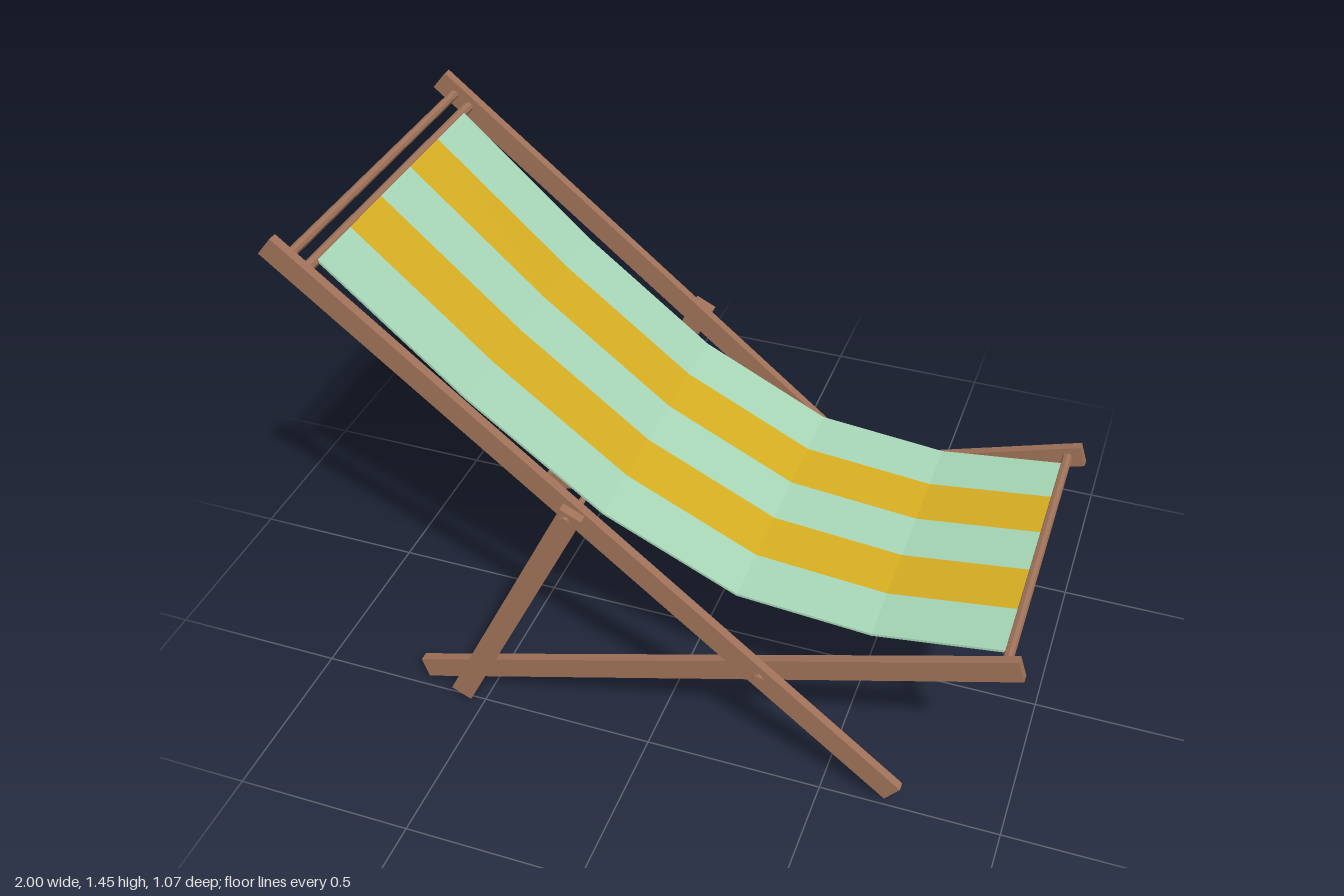
import * as THREE from 'three';

export function createModel() {
  const make = (name, color) => {
    const m = new THREE.MeshStandardMaterial({ color });
    m.name = name;
    return m;
  };
  const wood = make('wood', 0xa2745a);
  const green = make('greenCanvas', 0xa8d8b8);
  const yellow = make('yellowCanvas', 0xd8af22);

  const chair = new THREE.Group();
  chair.name = 'deckChair';
  const add = (name, geometry, material) => {
    const mesh = new THREE.Mesh(geometry, material);
    mesh.name = name;
    chair.add(mesh);
    return mesh;
  };

  // Flat wooden slat running between two points of the side plane
  const slat = (name, [x1, y1], [x2, y2], z, width = 0.064) => {
    const length = Math.hypot(x2 - x1, y2 - y1);
    const mesh = add(name, new THREE.BoxGeometry(length, width, 0.026), wood);
    mesh.position.set((x1 + x2) / 2, (y1 + y2) / 2, z);
    mesh.rotation.z = Math.atan2(y2 - y1, x2 - x1);
  };

  // Round rod across the chair, faceted
  const rod = (name, x, y, z, length, radius) => {
    const geometry = new THREE.CylinderGeometry(radius, radius, length, 8).toNonIndexed();
    geometry.computeVertexNormals();
    geometry.rotateX(Math.PI / 2);
    add(name, geometry, wood).position.set(x, y, z);
  };

  // Side frames, mirrored
  for (const side of [-1, 1]) {
    slat('backRail', [-0.978, 1.426], [0.7, 0.048], side * 0.484);
    slat('seatRail', [-0.704, 0.035], [0.987, 0.577], side * 0.455);
    slat('propLeg', [-0.184, 0.805], [-0.561, 0.035], side * 0.514);
    rod('railPivot', 0.317, 0.363, side * 0.475, 0.065, 0.014);
    rod('propPivot', -0.2, 0.785, side * 0.504, 0.065, 0.014);
  }

  // Cross bars
  rod('topBar', -0.934, 1.389, 0, 0.95, 0.013);
  rod('canvasTopBar', -0.893, 1.356, 0, 0.95, 0.015);
  rod('canvasFrontBar', 0.944, 0.566, 0, 0.9, 0.014);
  rod('propBar', -0.53, 0.104, 0, 1.01, 0.011);

  // Sagging canvas: a thin extruded profile, cut into five tapering stripes
  const sag = [
    [-0.884, 1.366], [-0.506, 1.022], [-0.14, 0.736],
    [0.226, 0.557], [0.59, 0.525], [0.935, 0.573],
  ];
  const thickness = 0.007;
  const under = sag.map(([x, y], i) => {
    const a = sag[Math.max(i - 1, 0)], b = sag[Math.min(i + 1, sag.length - 1)];
    const l = Math.hypot(b[0] - a[0], b[1] - a[1]);
    return [x + ((b[1] - a[1]) / l) * thickness, y - ((b[0] - a[0]) / l) * thickness];
  });
  const profile = new THREE.Shape(
    [...sag, ...under.reverse()].map(([x, y]) => new THREE.Vector2(x, y))
  );
  for (let i = 0; i < 5; i++) {
    const geometry = new THREE.ExtrudeGeometry(profile, { depth: 1, bevelEnabled: false });
    const p = geometry.attributes.position;
    for (let v = 0; v < p.count; v++) {
      const halfWidth = 0.42 - 0.011 * (p.getX(v) + 0.88);
      p.setZ(v, halfWidth * (((i + p.getZ(v)) * 2) / 5 - 1));
    }
    geometry.computeVertexNormals();
    add('canvasStripe', geometry, i % 2 ? yellow : green);
  }

  return chair;
}
